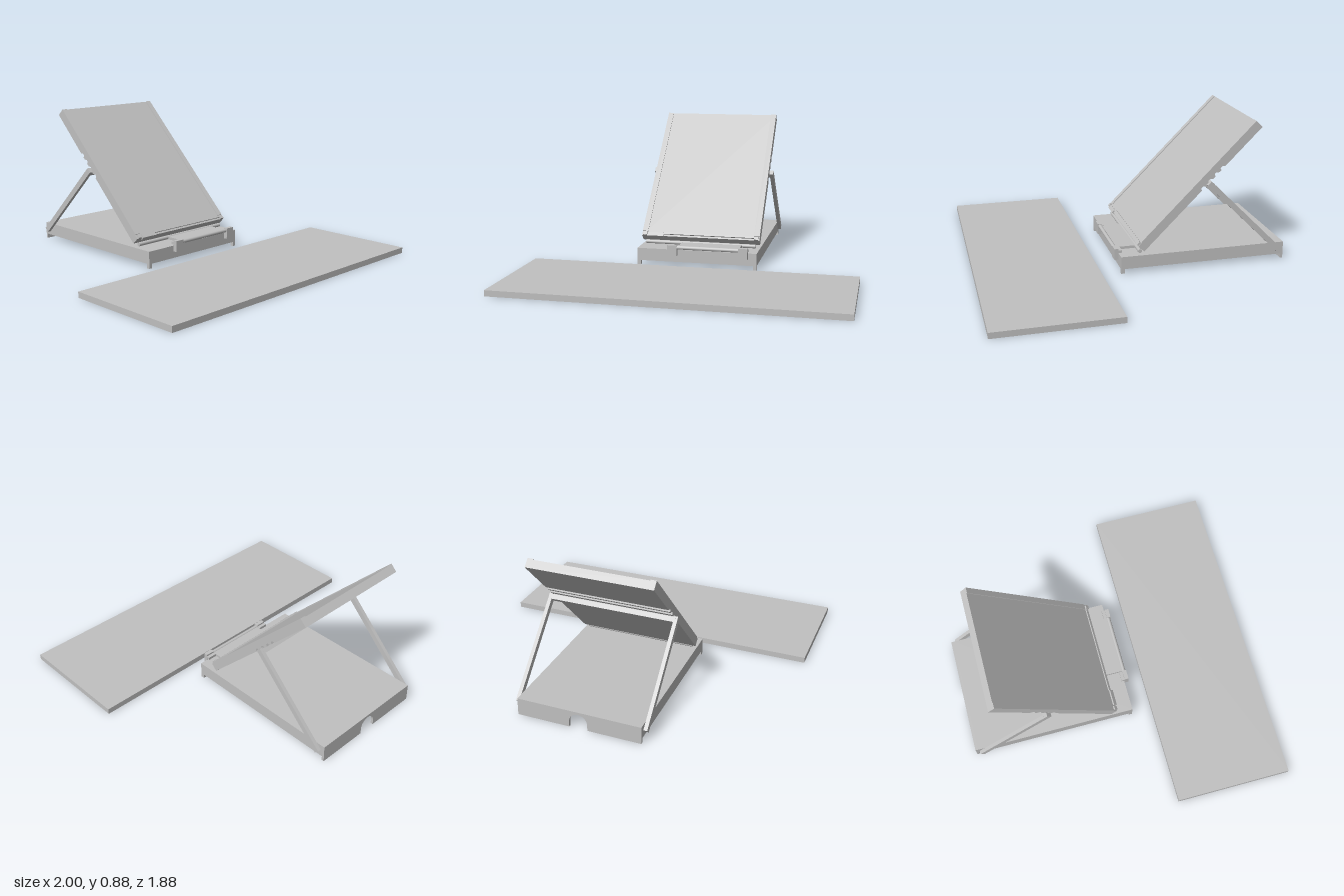
import * as THREE from 'three';

export function createModel() {
  const model = new THREE.Group();
  model.name = 'copyStandAndBoard';
  const grey = new THREE.MeshStandardMaterial({ color: 0xc0c0c0 });
  grey.name = 'plain grey';

  const add = (parent, name, geometry) => {
    const mesh = new THREE.Mesh(geometry, grey);
    mesh.name = name;
    parent.add(mesh);
    return mesh;
  };
  // Box given by its limits on each axis
  const box = (parent, name, [x0, x1], [y0, y1], [z0, z1]) => {
    const mesh = add(parent, name, new THREE.BoxGeometry(x1 - x0, y1 - y0, z1 - z0));
    mesh.position.set((x0 + x1) / 2, (y0 + y1) / 2, (z0 + z1) / 2);
    return mesh;
  };

  // Flat board lying in front
  box(model, 'frontBoard', [-1, 1], [0, 0.035], [0.215, 0.94]);

  // Hollow base tray, open below
  const base = new THREE.Group();
  base.name = 'base';
  model.add(base);
  box(base, 'baseTop', [-0.375, 0.375], [0.085, 0.105], [-0.925, 0.087]);
  box(base, 'baseFrontWall', [-0.375, 0.375], [0.028, 0.085], [0.062, 0.087]);
  for (const s of [-1, 1]) {
    const inner = s * 0.355, outer = s * 0.375;
    const span = [Math.min(inner, outer), Math.max(inner, outer)];
    box(base, 'baseSideWall', span, [0.028, 0.085], [-0.925, 0.062]);
    box(base, 'frontFoot', span, [0, 0.028], [0.065, 0.087]);
  }

  // Back wall with a round-topped cable notch
  const wall = new THREE.Shape();
  wall.moveTo(-0.375, 0);
  wall.lineTo(-0.055, 0);
  wall.lineTo(-0.055, 0.035);
  wall.absarc(0, 0.035, 0.055, Math.PI, 0, true);
  wall.lineTo(0.055, 0);
  wall.lineTo(0.375, 0);
  wall.lineTo(0.375, 0.105);
  wall.lineTo(-0.375, 0.105);
  const backWall = add(base, 'baseBackWall',
    new THREE.ExtrudeGeometry(wall, { depth: 0.015, bevelEnabled: false, curveSegments: 20 }));
  backWall.position.z = -0.94;

  // Tilted panel: local y runs up the panel, local z is its front
  const panel = new THREE.Group();
  panel.name = 'tiltedPanel';
  panel.position.set(0, 0.128, -0.053);
  panel.rotation.x = -Math.PI / 4;
  model.add(panel);

  // Panel side profile with ratchet grooves along the back
  const L = 1.008;
  const profile = new THREE.Shape();
  profile.moveTo(0, 0);
  for (const g of [0.495, 0.555, 0.61, 0.66]) {
    profile.lineTo(g, 0);
    profile.lineTo(g + 0.006, 0.014);
    profile.lineTo(g + 0.02, 0.014);
    profile.lineTo(g + 0.034, 0);
  }
  profile.lineTo(L, 0);
  profile.lineTo(L, 0.05);
  profile.lineTo(0, 0.05);
  const slab = new THREE.ExtrudeGeometry(profile, { depth: 0.75, bevelEnabled: false });
  // Turn (profile x, profile y, depth) into (panel y, panel z, panel x)
  slab.applyMatrix4(new THREE.Matrix4().set(
    0, 0, 1, -0.375,
    1, 0, 0, 0,
    0, 1, 0, 0,
    0, 0, 0, 1));
  add(panel, 'panelSlab', slab);

  // Raised side rails and the ledge along the bottom edge
  for (const s of [-1, 1]) {
    box(panel, 'sideRail', [s * 0.3575 - 0.0175, s * 0.3575 + 0.0175], [0.03, L], [0.05, 0.055]);
    box(panel, 'ledgeCorner', [s * 0.355 - 0.012, s * 0.355 + 0.012], [0, 0.024], [0.05, 0.06]);
  }
  box(panel, 'ledgeStrip', [-0.235, 0.343], [0.012, 0.026], [0.05, 0.058]);
  box(panel, 'ledgeTab', [-0.335, -0.235], [-0.006, 0.02], [0.036, 0.06]);

  // Prop frame: two legs and the bar that rests in a groove
  const prop = new THREE.Group();
  prop.name = 'propFrame';
  model.add(prop);
  for (const s of [-1, 1]) {
    const leg = add(prop, 'propLeg', new THREE.BoxGeometry(0.022, 0.655, 0.034));
    leg.position.set(s * 0.388, 0.294, -0.673);
    leg.rotation.x = Math.PI / 4;
  }
  const bar = add(prop, 'propCrossbar', new THREE.BoxGeometry(0.776, 0.03, 0.034));
  bar.position.set(0, 0.512, -0.456);
  bar.rotation.x = Math.PI / 4;

  // Front bracket: plate, rod and two end clips
  const bracket = new THREE.Group();
  bracket.name = 'frontBracket';
  model.add(bracket);
  box(bracket, 'bracketPlate', [-0.115, 0.265], [0.112, 0.128], [-0.03, 0.09]);
  const rod = add(bracket, 'bracketRod', new THREE.CylinderGeometry(0.012, 0.012, 0.5, 16));
  rod.rotation.z = Math.PI / 2;
  rod.position.set(0.072, 0.123, 0.1);
  for (const [x0, x1] of [[-0.178, -0.118], [0.265, 0.322]]) {
    box(bracket, 'endClip', [x0, x1], [0.07, 0.138], [0.09, 0.115]);
    box(bracket, 'clipTop', [x0, x1], [0.112, 0.128], [0.07, 0.09]);
  }
  const hinge = add(bracket, 'hingePin', new THREE.CylinderGeometry(0.012, 0.012, 0.7, 16));
  hinge.rotation.z = Math.PI / 2;
  hinge.position.set(0, 0.122, -0.035);

  return model;
}
